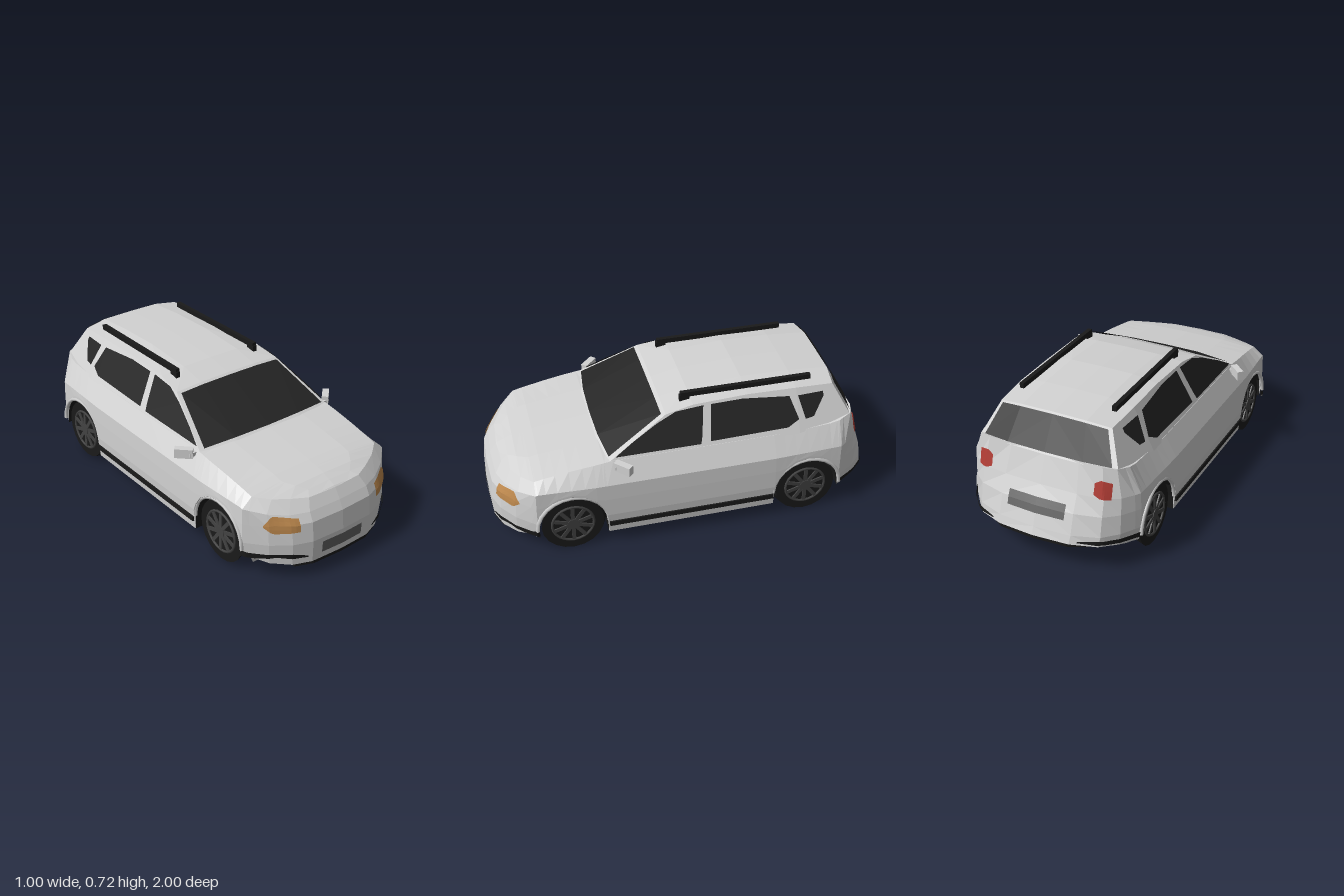
import * as THREE from 'three';

const mat = (name, color, side = THREE.FrontSide) => new THREE.MeshStandardMaterial({ name, color, side });
const BODY = mat('silverPaint', 0xd2d2d2, THREE.DoubleSide);
const GLASS = mat('darkGlass', 0x242424, THREE.DoubleSide);
const BLACK = mat('blackTrim', 0x1a1a1a, THREE.DoubleSide);
const RIM = mat('wheelMetal', 0x424242);
const GREY = mat('plateGrey', 0x646464, THREE.DoubleSide);
const FLOOR = mat('floorGrey', 0x989898);
const ORANGE = mat('amberLamp', 0xbd884d, THREE.DoubleSide);
const RED = mat('redLamp', 0xb03c34, THREE.DoubleSide);

const WHEELS = [0.62, -0.59], ARCH = 0.175;
const clamp = (v) => Math.min(1, Math.max(0, v));
const mix = (a, b, t) => a.map((v, i) => v + (b[i] - v) * t);
// Piecewise-linear curve through [key, value] pairs with ascending keys
function curve(pts, k) {
  if (k <= pts[0][0]) return pts[0][1];
  for (let i = 1; i < pts.length; i++) {
    const [a, va] = pts[i - 1], [b, vb] = pts[i];
    if (k <= b) return va + (vb - va) * (k - a) / (b - a);
  }
  return pts[pts.length - 1][1];
}

// Faceted mesh from triangles on the +x half, mirrored to -x
function mirroredMesh(name, tris, material) {
  const p = [];
  for (const [a, b, c] of tris) {
    p.push(...a, ...b, ...c);
    for (const v of [a, c, b]) p.push(-v[0], v[1], v[2]);
  }
  const g = new THREE.BufferGeometry();
  g.setAttribute('position', new THREE.Float32BufferAttribute(p, 3));
  g.computeVertexNormals();
  const m = new THREE.Mesh(g, material);
  m.name = name;
  return m;
}

// Skin columns that run front to back; each column's points run upward
function loft(name, cols, material) {
  const tris = [];
  for (let i = 0; i + 1 < cols.length; i++)
    for (let r = 0; r + 1 < cols[i].length; r++) {
      const a = cols[i][r], b = cols[i + 1][r], c = cols[i + 1][r + 1], d = cols[i][r + 1];
      tris.push([a, b, c], [a, c, d]);
    }
  return mirroredMesh(name, tris, material);
}

// Plan outline of one side: nose centre, along the flank, to tail centre
function planOutline() {
  const out = [[0, 0.998], [0.18, 0.99], [0.275, 0.955], [0.365, 0.89, 0.095], [0.425, 0.822, 0.118]].map(([x, z, y]) => ({ x, z, y }));
  const width = (z) => curve([[-0.77, 0.447], [-0.4, 0.462], [0.5, 0.462], [0.8, 0.447]], z);
  const arch = (zc, yFront) => {
    out.push({ x: width(zc + ARCH), z: zc + ARCH, y: yFront });
    for (let i = 0; i <= 8; i++) {
      const a = Math.PI * i / 8, z = zc + (ARCH - 0.002) * Math.cos(a);
      out.push({ x: width(z), z, y: 0.16 + ARCH * Math.sin(a) });
    }
    out.push({ x: width(zc - ARCH), z: zc - ARCH });
  };
  arch(WHEELS[0], 0.12);
  for (const z of [0.4, 0.2, 0, -0.2]) out.push({ x: width(z), z });
  arch(WHEELS[1]);
  for (const [x, z] of [[0.43, -0.793], [0.388, -0.862], [0.32, -0.935], [0.19, -0.985], [0, -1]]) out.push({ x, z });
  return out;
}
const PLAN = planOutline();
const beltY = (z) => curve([[-0.85, 0.53], [-0.72, 0.5], [-0.5, 0.49], [0.4, 0.49], [0.6, 0.462], [0.75, 0.435], [0.85, 0.41], [0.93, 0.395]], z);
const deckY = (z) => curve([[-0.85, 0.53], [-0.7, 0.5], [0.44, 0.497], [0.74, 0.455], [0.85, 0.43], [0.93, 0.396]], z);
const bottomY = (z) => curve([[-1, 0.16], [-0.75, 0.125], [-0.45, 0.083]], z);

// Flank rows from sill to belt line
const NOSE = [0.005, 0, 0.012, 0.036, 0.07], TAIL = [0, 0.015, 0.05, 0.095, 0.15], WIDE = [0.975, 1, 1, 0.995, 0.87];
const FLANK = PLAN.map(({ x, z, y }) => {
  const yb = y ?? bottomY(z);
  const nose = clamp((z - 0.78) / 0.17), tail = clamp((-0.75 - z) / 0.25) ** 2;
  const corner = 0.06 * clamp((-0.78 - z) / 0.08);
  return WIDE.map((w, r) => {
    const rz = z - NOSE[r] * nose + TAIL[r] * tail;
    const ry = [yb, Math.max(0.2, yb + 0.012), Math.max(0.3, yb + 0.025), Math.max(0.385 - 0.04 * nose, yb + 0.04), beltY(rz)][r];
    return [x * (r === 4 ? w + corner : w), ry, rz];
  });
});

// Depth of the nose (s = 1) or tail (s = -1) skin at a given x, y
function skinZ(x, y, s) {
  const line = FLANK.filter((c, i) => PLAN[i].z * s > 0.76).map((c) => {
    let r = 0;
    while (r < 3 && y > c[r + 1][1]) r++;
    const p = mix(c[r], c[r + 1], clamp((y - c[r][1]) / (c[r + 1][1] - c[r][1])));
    return [p[0], p[2]];
  });
  return curve(line.sort((a, b) => a[0] - b[0]), x);
}

// Thin plate following the nose or tail; spans are [x, low y, high y]
function skinPatch(name, spans, s, material, lift = 0.007, spread = 1) {
  const cols = [];
  for (let i = 0; i + 1 < spans.length; i++)
    for (let k = i ? 1 : 0; k <= 5; k++) {
      const [x, lo, hi] = mix(spans[i], spans[i + 1], k / 5);
      cols.push([0, 1, 2, 3, 4].map((j) => {
        const y = lo + (hi - lo) * j / 4;
        return [x * spread, y, skinZ(x, y, s) + s * lift];
      }));
    }
  return loft(name, s > 0 ? cols : cols.reverse(), material);
}

// Cabin side surface: leans inward with height, narrows at the tail
const cabinX = (y, z) => 0.4 - 0.5 * (y - 0.49) - 0.08 * Math.max(0, -0.55 - z);
function sidePlate(name, pts, material, lift = 0) {
  const flat = pts.map(([z, y]) => new THREE.Vector2(-z, y));
  if (THREE.ShapeUtils.isClockWise(flat)) flat.reverse();
  const v = flat.map((p) => [cabinX(p.y, -p.x) + lift, p.y + lift * 0.5, -p.x]);
  return mirroredMesh(name, THREE.ShapeUtils.triangulateShape(flat, []).map((t) => t.map((i) => v[i])), material);
}

// Glass laid on a three-column screen; edge is the outermost column
function screenGlass(name, cols, edge, [up, out], inset) {
  const g = cols.map((c, i) => (i === edge ? c.map((p, r) => mix(p, cols[1][r], inset)) : c));
  return loft(name, g.map(([a, b]) => [mix(a, b, 0.06), mix(a, b, 0.95)].map(([x, y, z]) => [x, y + up, z + out])), GLASS);
}

function box(name, w, h, d, x, y, z, material) {
  const m = new THREE.Mesh(new THREE.BoxGeometry(w, h, d), material);
  m.position.set(x, y, z);
  m.name = name;
  return m;
}

// Wheel on the +x (s = 1) or -x (s = -1) side; the tyre's inner end leans toward mid-car
function wheel(name, zc, s) {
  const g = new THREE.Group();
  g.name = name;
  const tyreGeo = new THREE.CylinderGeometry(0.157, 0.157, 0.155, 20).rotateZ(Math.PI / 2).toNonIndexed();
  const p = tyreGeo.attributes.position;
  for (let i = 0; i < p.count; i++)
    if (p.getX(i) * s < 0) p.setZ(i, p.getZ(i) - Math.sign(zc) * 0.065);
  tyreGeo.computeVertexNormals();
  const tyre = new THREE.Mesh(tyreGeo, BLACK);
  tyre.name = 'tyre';
  const ring = new THREE.Mesh(new THREE.TorusGeometry(0.105, 0.007, 6, 24).rotateY(Math.PI / 2), RIM);
  ring.name = 'rim';
  const hub = new THREE.Mesh(new THREE.CylinderGeometry(0.03, 0.03, 0.016, 12).rotateZ(Math.PI / 2), RIM);
  hub.name = 'hub';
  ring.position.x = hub.position.x = s * 0.079;
  g.add(tyre, ring, hub);
  for (let i = 0; i < 10; i++) {
    const spoke = new THREE.Mesh(new THREE.BoxGeometry(0.01, 0.085, 0.019).translate(s * 0.079, 0.062, 0), RIM);
    spoke.rotation.x = Math.PI * i / 5;
    spoke.name = 'spoke';
    g.add(spoke);
  }
  g.position.set(s * 0.352, 0.157, zc);
  return g;
}

export function createModel() {
  const car = new THREE.Group();
  car.name = 'car';

  // Body shell with bonnet, and underbody with wheel wells
  car.add(loft('bodyShell', FLANK.map((c) => {
    const [x, y, z] = c[4];
    return [...c, [x * 0.55, deckY(z) - 0.003, z], [0, x ? deckY(z) : y, z]];
  }), BODY));
  car.add(loft('underbody', FLANK.map((c) => {
    const [x, y, z] = c[0], floor = bottomY(z) - 0.016, xi = Math.min(x * 0.95, 0.26);
    return [[0, floor, z], [xi, floor, z], [xi, y, z], c[0]];
  }), BLACK));
  // Painted undersides of the bumpers
  const apron = (c, s) => [[c[0][0] * 0.92, bottomY(c[0][2]) - 0.021, s * Math.max(Math.abs(c[0][2]) - 0.12, 0.8)], c[0]];
  car.add(loft('frontApron', FLANK.slice(0, 5).map((c) => apron(c, 1)), BODY));
  car.add(loft('rearApron', FLANK.slice(-5).map((c) => apron(c, -1)), BODY));
  car.add(box('floorPanel', 0.74, 0.01, 0.64, 0, 0.062, 0.09, FLOOR));
  car.add(box('frontSkirt', 0.52, 0.016, 0.37, 0, 0.064, 0.69, BLACK));

  // Cabin sides, roof and screens
  car.add(sidePlate('cabinSide', [[0.43, 0.48], [0.12, 0.655], [-0.02, 0.68], [-0.3, 0.69], [-0.55, 0.687], [-0.55, 0.48]], BODY));
  car.add(sidePlate('cabinRearSide', [[-0.55, 0.48], [-0.55, 0.687], [-0.745, 0.675], [-0.83, 0.515]], BODY));
  const roof = [[0.12, 0.655, 0.665], [-0.02, 0.68, 0.695], [-0.3, 0.69, 0.713], [-0.55, 0.687, 0.708], [-0.745, 0.675, 0.692]];
  car.add(loft('roof', roof.map(([z, e, c], i) => {
    const back = i === 4 ? 0.015 : 0;
    return [[cabinX(e, z), e, z], [0.17, c - 0.002, z - back], [0, c, z - back]];
  }), BODY));
  const front = [[[0, 0.49, 0.46], [0, 0.665, 0.12]], [[0.2, 0.49, 0.455], [0.17, 0.663, 0.12]],
    [[cabinX(0.48, 0.43), 0.48, 0.43], [cabinX(0.655, 0.12), 0.655, 0.12]]];
  const rear = [[[cabinX(0.515, -0.83), 0.515, -0.83], [cabinX(0.675, -0.745), 0.675, -0.745]],
    [[0.2, 0.52, -0.855], [0.17, 0.69, -0.76]], [[0, 0.52, -0.86], [0, 0.692, -0.76]]];
  car.add(loft('windscreenFrame', front, BODY), screenGlass('windscreen', front, 2, [0.006, 0.004], 0.12));
  car.add(loft('tailgateFrame', rear, BODY), screenGlass('rearWindow', rear, 0, [0.003, -0.007], 0.15));

  // Side windows
  car.add(sidePlate('frontDoorWindow', [[0.39, 0.502], [0.3, 0.555], [0.17, 0.622], [0.07, 0.662], [-0.07, 0.672], [-0.05, 0.54], [-0.04, 0.502]], GLASS, 0.005));
  car.add(sidePlate('rearDoorWindow', [[-0.09, 0.508], [-0.11, 0.672], [-0.27, 0.675], [-0.51, 0.655], [-0.55, 0.545], [-0.49, 0.515]], GLASS, 0.005));
  car.add(sidePlate('quarterWindow', [[-0.555, 0.652], [-0.69, 0.65], [-0.69, 0.628], [-0.63, 0.545], [-0.585, 0.54]], GLASS, 0.005));

  // Lamps, number plates and bumper trim
  car.add(skinPatch('headlamps', [[0.24, 0.266, 0.33], [0.345, 0.264, 0.35], [0.36, 0.27, 0.34], [0.385, 0.297, 0.303]], 1, ORANGE));
  car.add(skinPatch('tailLamps', [[0.27, 0.4, 0.455], [0.3, 0.385, 0.472], [0.35, 0.383, 0.46]], -1, RED));
  car.add(skinPatch('frontPlate', [[0, 0.118, 0.178], [0.125, 0.118, 0.178]], 1, GREY, 0.004));
  car.add(skinPatch('rearPlate', [[0, 0.265, 0.335], [0.15, 0.265, 0.335]], -1, GREY));
  car.add(skinPatch('frontBumperTrim', [[0.2, 0.122, 0.13], [0.27, 0.125, 0.152], [0.33, 0.136, 0.153], [0.4, 0.124, 0.153], [0.446, 0.124, 0.153]], 1, BLACK, 0.008, 1.025));
  car.add(skinPatch('rearBumperTrim', [[0.22, 0.172, 0.178], [0.3, 0.165, 0.185], [0.44, 0.152, 0.178]], -1, BLACK, 0.008, 1.02));

  // Mirrored parts: sills, arch lips, mirrors, rails, wheels
  for (const s of [1, -1]) {
    car.add(box('sillTrim', 0.016, 0.026, 0.85, s * 0.457, 0.142, 0.015, BLACK));
    car.add(box('roofRail', 0.022, 0.026, 0.67, s * 0.246, 0.71, -0.305, BLACK));
    car.add(box('railFoot', 0.022, 0.035, 0.05, s * 0.246, 0.69, 0.01, BLACK));
    const mirror = box('wingMirror', 0.034, 0.048, 0.09, s * 0.455, 0.478, 0.362, BODY);
    mirror.rotation.y = -s * 0.8;
    car.add(mirror, box('mirrorArm', 0.06, 0.02, 0.03, s * 0.415, 0.472, 0.385, BODY));
    WHEELS.forEach((zc, i) => {
      const lip = new THREE.Mesh(new THREE.TorusGeometry(ARCH + 0.003, 0.01, 5, 12, Math.PI).rotateY(Math.PI / 2), BODY);
      lip.position.set(s * 0.45, 0.16, zc);
      lip.name = 'archLip';
      car.add(lip, wheel(i ? 'rearWheel' : 'frontWheel', zc, s));
    });
  }
  return car;
}
